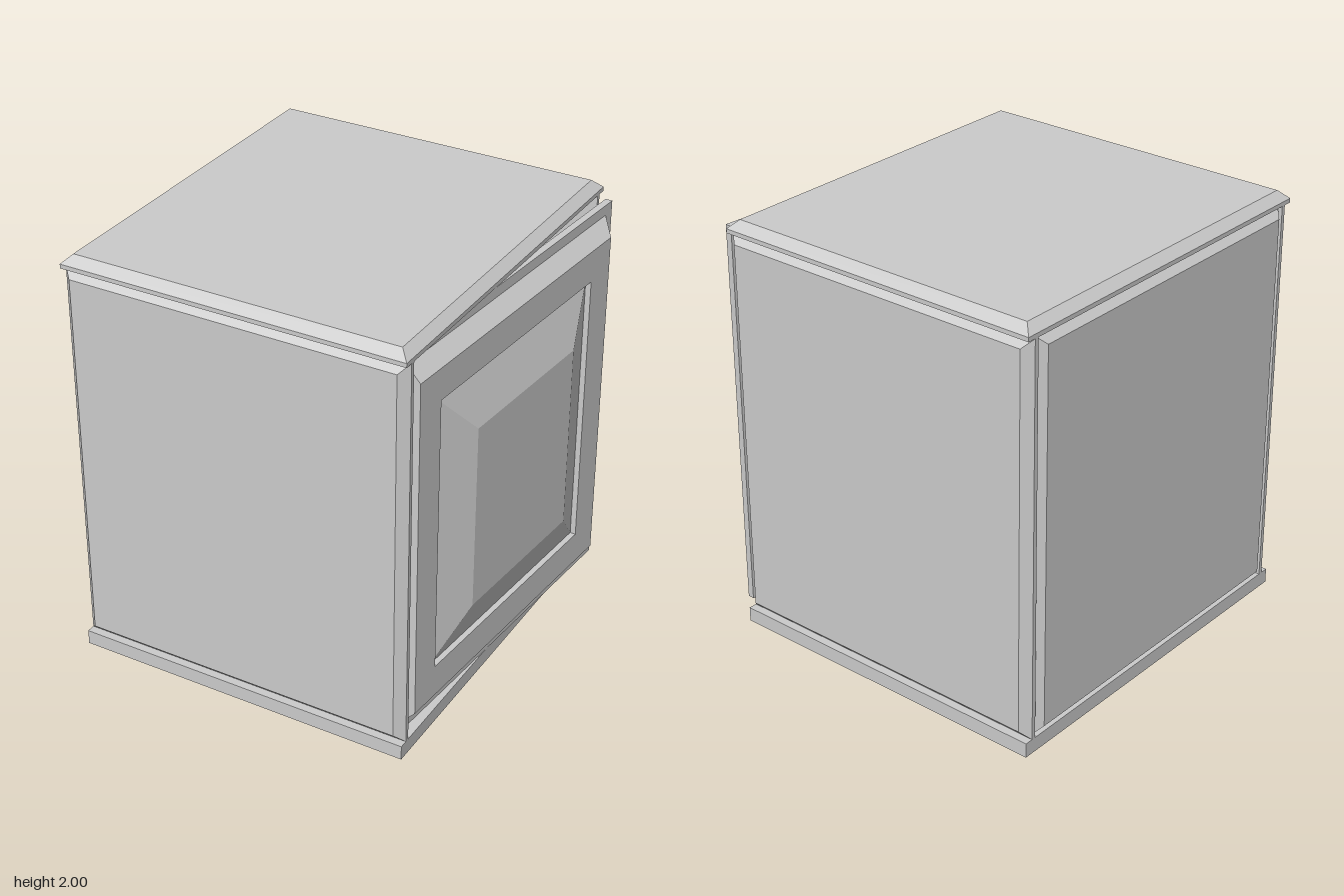
import * as THREE from 'three';

const material = new THREE.MeshStandardMaterial({ color: 0xcccccc, flatShading: true });

// Closed solid through a stack of rectangles [x0, x1, y0, y1, z]
function stackRects(rects) {
  const rings = rects.map(([x0, x1, y0, y1, z]) => [[x0, y0, z], [x1, y0, z], [x1, y1, z], [x0, y1, z]]);
  const pos = [];
  const quad = (a, b, c, d) => pos.push(...a, ...b, ...c, ...a, ...c, ...d);
  for (let i = 0; i < rings.length - 1; i++) {
    const a = rings[i], b = rings[i + 1];
    for (let k = 0; k < 4; k++) {
      const n = (k + 1) % 4;
      quad(a[k], a[n], b[n], b[k]);
    }
  }
  const first = rings[0], last = rings[rings.length - 1];
  quad(first[3], first[2], first[1], first[0]);
  quad(...last);
  const g = new THREE.BufferGeometry();
  g.setAttribute('position', new THREE.Float32BufferAttribute(pos, 3));
  g.computeVertexNormals();
  return g;
}

// Thin slab with chamfered outer edges, facing local +z
function panelGeometry(w, h) {
  const x = w / 2, y = h / 2, c = 0.042;
  return stackRects([
    [-x, x, -y, y, 0],
    [-x, x, -y, y, 0.02],
    [-x + c, x - c, -y + c, y - c, 0.06],
  ]);
}

function add(parent, name, geometry, x = 0, y = 0, z = 0, rx = 0, ry = 0) {
  const m = new THREE.Mesh(geometry, material);
  m.name = name;
  m.position.set(x, y, z);
  m.rotation.set(rx, ry, 0);
  parent.add(m);
  return m;
}

export function createModel() {
  const root = new THREE.Group();
  root.name = 'cabinet';
  const cx = -0.07, midY = 1.005, wallH = 1.87;

  // Hollow carcass: base, lid and three walls
  add(root, 'base', new THREE.BoxGeometry(1.64, 0.07, 1.8), cx, 0.035, 0);
  add(root, 'lid', panelGeometry(1.64, 1.8), cx, 1.94, 0, -Math.PI / 2);
  add(root, 'frontWall', panelGeometry(1.64, wallH), cx, midY, 0.84);
  add(root, 'backWall', panelGeometry(1.64, wallH), cx, midY, -0.84, 0, Math.PI);
  add(root, 'sideWall', panelGeometry(1.68, wallH), -0.845, midY, 0, 0, -Math.PI / 2);

  // Door, slightly ajar: local +z is outward, local +x is the free edge
  const door = new THREE.Group();
  door.name = 'door';
  door.position.x = 0.825;
  door.rotation.y = Math.PI / 2 - 0.077;
  root.add(door);
  add(door, 'doorBacking', stackRects([
    [-0.83, 0.83, 0.072, 1.938, -0.098],
    [-0.83, 0.83, 0.072, 1.938, -0.065],
  ]));
  // Bevelled frame, recess and raised centre
  add(door, 'doorFrameAndRaisedPanel', stackRects([
    [-0.81, 0.775, 0.12, 1.89, -0.065],
    [-0.81, 0.715, 0.19, 1.825, 0],
    [-0.655, 0.555, 0.345, 1.675, 0],
    [-0.655, 0.555, 0.345, 1.675, -0.027],
    [-0.44, 0.34, 0.56, 1.45, 0.048],
  ]));
  return root;
}
